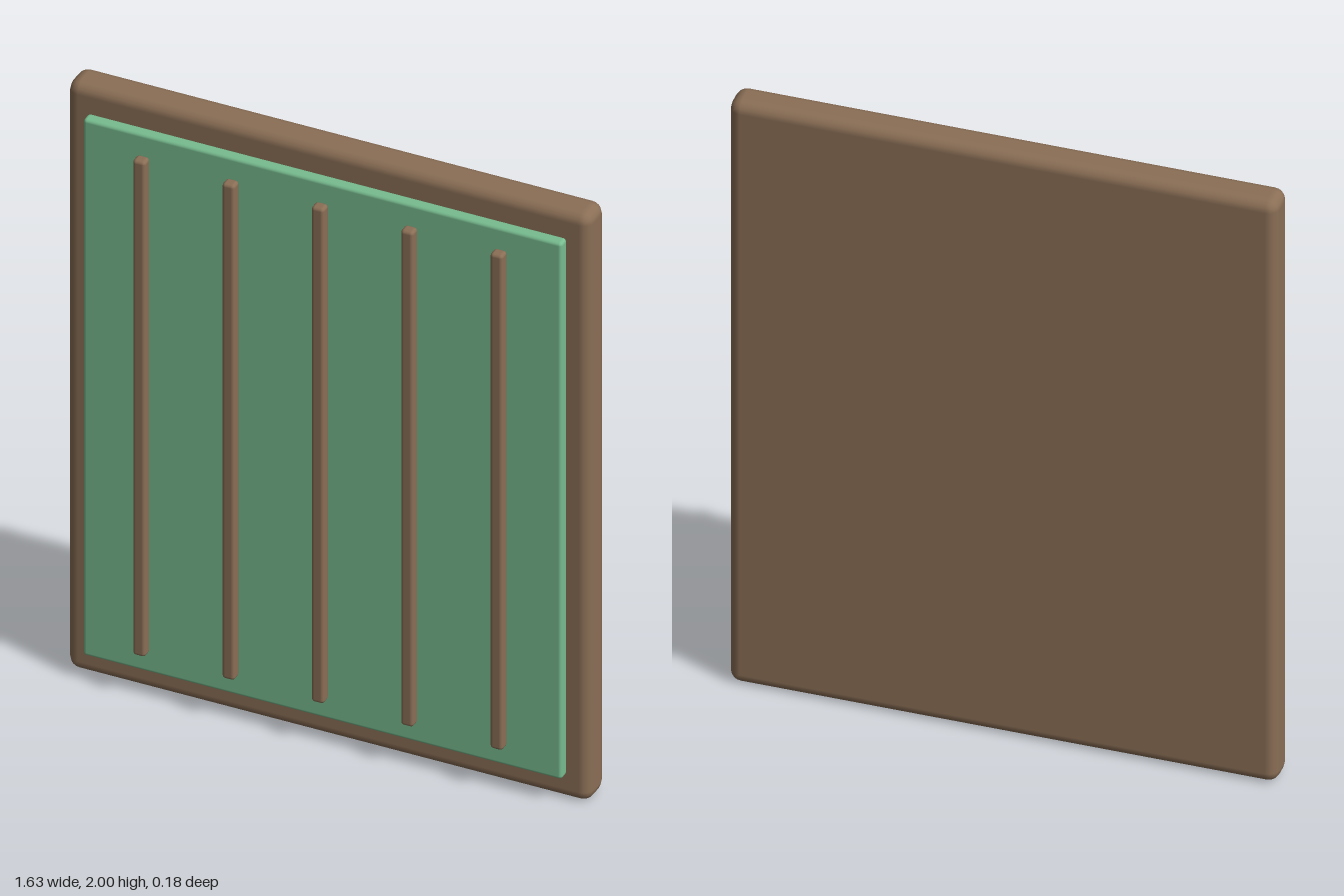
import * as THREE from 'three';
import { RoundedBoxGeometry } from 'three/addons/geometries/RoundedBoxGeometry.js';

const brown = new THREE.MeshStandardMaterial({ color: 0x8b6f56 });
const green = new THREE.MeshStandardMaterial({ color: 0x78bd90 });

// Rounded slab given its size, centre and edge radius
function slab(name, [w, h, d], [x, y, z], radius, material) {
  const mesh = new THREE.Mesh(new RoundedBoxGeometry(w, h, d, 2, radius), material);
  mesh.name = name;
  mesh.position.set(x, y, z);
  return mesh;
}

export function createModel() {
  const model = new THREE.Group();
  model.name = 'slattedPanel';

  // Thick backing board whose rim frames the panel
  model.add(slab('backBoard', [1.63, 2, 0.108], [0, 1, -0.036], 0.036, brown));

  // Thin coloured panel on the front
  model.add(slab('frontPanel', [1.49, 1.825, 0.038], [0, 1.0025, 0.037], 0.011, green));

  // Five evenly spaced vertical slats
  const slats = new THREE.Group();
  slats.name = 'slats';
  for (let i = -2; i <= 2; i++) {
    slats.add(slab('slat', [0.04, 1.685, 0.037], [i * 0.278, 1.0025, 0.0715], 0.011, brown));
  }
  model.add(slats);

  return model;
}
